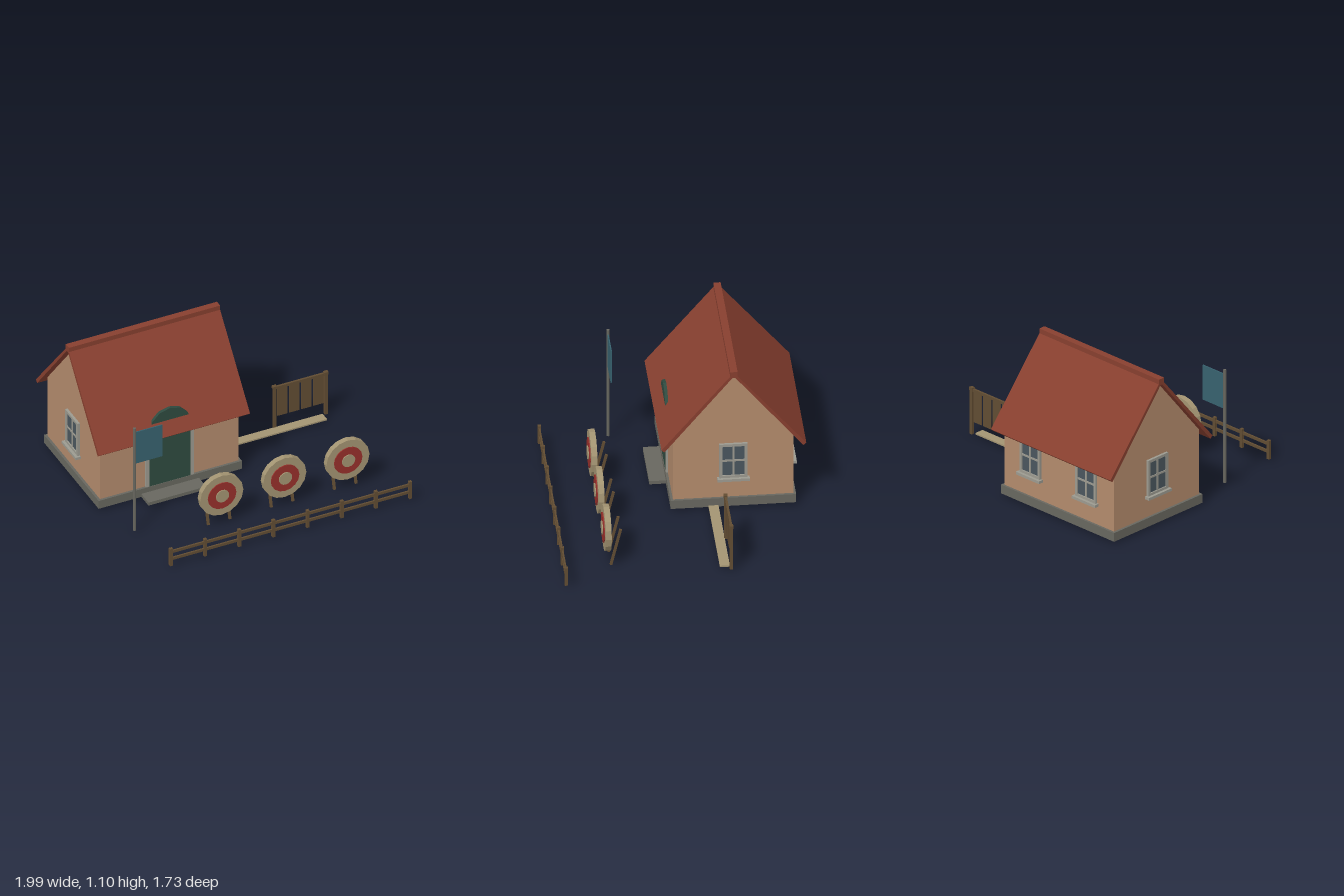
import * as THREE from 'three';

const mat = (name, color) => {
  const m = new THREE.MeshStandardMaterial({ color });
  m.name = name;
  return m;
};

export function createModel() {
  const wall = mat('wallPlaster', 0xb38b6c);
  const roofRed = mat('roofRed', 0x873f2f);
  const stone = mat('stoneGrey', 0x68675f);
  const trim = mat('trimGrey', 0x9c9a90);
  const glass = mat('slateGlass', 0x4a565e);
  const doorGreen = mat('doorGreen', 0x2f4b40);
  const flagBlue = mat('flagBlue', 0x37626f);
  const straw = mat('straw', 0xa39472);
  const red = mat('targetRed', 0x97302b);
  const wood = mat('wood', 0x614c32);

  const model = new THREE.Group();
  model.name = 'trainingYard';
  const group = (name, parent = model) => {
    const g = new THREE.Group();
    g.name = name;
    parent.add(g);
    return g;
  };
  const add = (parent, name, geo, m) => {
    const mesh = new THREE.Mesh(geo, m);
    mesh.name = name;
    parent.add(mesh);
    return mesh;
  };
  // Box given by its minimum and maximum on each axis
  const box = (parent, name, m, x0, x1, y0, y1, z0, z1) => {
    const mesh = add(parent, name, new THREE.BoxGeometry(x1 - x0, y1 - y0, z1 - z0), m);
    mesh.position.set((x0 + x1) / 2, (y0 + y1) / 2, (z0 + z1) / 2);
    return mesh;
  };

  // House, with its ridge running along x
  const cx = -0.432, cz = -0.37;
  const house = group('house');
  const gable = (name, pts, length, m) => {
    const shape = new THREE.Shape(pts.map(([a, b]) => new THREE.Vector2(a, b)));
    const geo = new THREE.ExtrudeGeometry(shape, { depth: length, bevelEnabled: false });
    geo.translate(0, 0, -length / 2).rotateY(Math.PI / 2).translate(cx, 0, cz);
    return add(house, name, geo, m);
  };
  box(house, 'foundation', stone, -0.97, 0.106, 0.015, 0.08, -0.797, 0.057);
  box(house, 'doorStep', stone, -0.65, -0.217, 0.015, 0.04, 0.05, 0.17);
  gable('walls', [[-0.41, 0.08], [0.41, 0.08], [0.41, 0.565], [0, 1.067], [-0.41, 0.565]], 1.04, wall);
  gable('roof', [[-0.493, 0.508], [-0.473, 0.49], [0, 1.07], [0.473, 0.49], [0.493, 0.508], [0, 1.1]], 1.135, roofRed);
  box(house, 'ridgeBeam', roofRed, -1, 0.136, 1.06, 1.105, cz - 0.025, cz + 0.025);

  // Arched door, whose top breaks through the roof
  const door = group('door', house);
  const doorShape = new THREE.Shape();
  doorShape.moveTo(-0.155, 0.08);
  doorShape.lineTo(0.155, 0.08);
  for (let i = 0; i <= 6; i++) {
    const a = (i * Math.PI) / 6;
    doorShape.lineTo(0.155 * Math.cos(a), 0.531 + 0.155 * Math.sin(a));
  }
  const leaf = add(door, 'doorLeaf', new THREE.ExtrudeGeometry(doorShape, { depth: 0.022, bevelEnabled: false }), doorGreen);
  leaf.position.set(cx, 0, 0.032);
  for (const s of [-1, 1]) {
    const x = cx + s * 0.168;
    box(door, 'doorJamb', trim, x - 0.013, x + 0.013, 0.08, 0.56, 0.03, 0.053);
  }

  // Four-pane windows, built facing +z on the wall plane
  const addWindow = (x, z, turn) => {
    const w = group('window', house);
    box(w, 'panes', glass, -0.08, 0.08, 0.25, 0.495, -0.01, 0.009);
    for (const s of [-1, 1]) {
      box(w, 'frameSide', trim, s * 0.086 - 0.01, s * 0.086 + 0.01, 0.24, 0.508, -0.01, 0.018);
    }
    box(w, 'frameTop', trim, -0.076, 0.076, 0.488, 0.508, -0.01, 0.018);
    box(w, 'frameBottom', trim, -0.076, 0.076, 0.24, 0.258, -0.01, 0.018);
    box(w, 'mullion', trim, -0.007, 0.007, 0.258, 0.488, -0.01, 0.014);
    box(w, 'crossbar', trim, -0.076, 0.076, 0.367, 0.381, -0.01, 0.0135);
    box(w, 'sill', trim, -0.11, 0.11, 0.22, 0.24, -0.01, 0.038);
    w.position.set(x, 0, z);
    w.rotation.y = turn;
  };
  addWindow(cx + 0.52, cz, Math.PI / 2);
  addWindow(cx - 0.52, cz, -Math.PI / 2);
  for (const s of [-1, 1]) addWindow(cx + s * 0.265, cz - 0.41, Math.PI);

  // Flag on its pole
  const flag = group('flag');
  const pole = add(flag, 'flagPole', new THREE.CylinderGeometry(0.011, 0.011, 0.85, 8), stone);
  pole.position.set(-0.858, 0.44, 0.385);
  box(flag, 'flagCloth', flagBlue, -0.85, -0.65, 0.57, 0.83, 0.381, 0.389);

  // Round straw targets on two leaning legs
  for (const x of [-0.292, 0.181, 0.655]) {
    const target = group('target');
    target.position.set(x, 0.25, 0);
    const disc = (name, r, z0, z1, m) => {
      const geo = new THREE.CylinderGeometry(r, r, z1 - z0, 16).rotateX(Math.PI / 2).toNonIndexed();
      geo.computeVertexNormals();
      add(target, name, geo, m).position.z = (z0 + z1) / 2;
    };
    disc('strawDisc', 0.162, 0.53, 0.571, straw);
    disc('redRing', 0.106, 0.565, 0.578, red);
    disc('bullseye', 0.049, 0.57, 0.585, straw);
    for (const s of [-1, 1]) {
      const leg = add(target, 'leg', new THREE.BoxGeometry(0.017, 0.283, 0.017), wood);
      leg.position.set(s * 0.081, -0.11, 0.495);
      leg.rotation.x = -0.235;
    }
  }

  // Long low fence
  const fence = group('fence');
  for (let i = 0; i < 8; i++) {
    const x = -0.812 + i * 0.2565;
    box(fence, 'fencePost', wood, x - 0.011, x + 0.011, 0.015, 0.155, 0.846, 0.868);
  }
  for (const y of [0.126, 0.068]) {
    box(fence, 'fenceRail', wood, -0.812, 0.984, y - 0.01, y + 0.01, 0.851, 0.863);
  }

  // Slatted board at the end of a plank path
  const board = group('slattedBoard');
  for (const x of [0.51, 0.895]) {
    box(board, 'boardPost', wood, x - 0.011, x + 0.011, 0.015, 0.35, -0.286, -0.264);
    box(board, 'postCap', wood, x - 0.016, x + 0.016, 0.345, 0.365, -0.288, -0.262);
  }
  box(board, 'boardRail', wood, 0.51, 0.895, 0.338, 0.358, -0.283, -0.267);
  for (let i = 0; i < 4; i++) {
    const x = 0.7025 + (i - 1.5) * 0.09;
    box(board, 'slat', wood, x - 0.037, x + 0.037, 0.11, 0.34, -0.279, -0.271);
  }
  box(model, 'plankPath', straw, 0.1, 0.868, 0.015, 0.026, -0.268, -0.2);

  return model;
}
